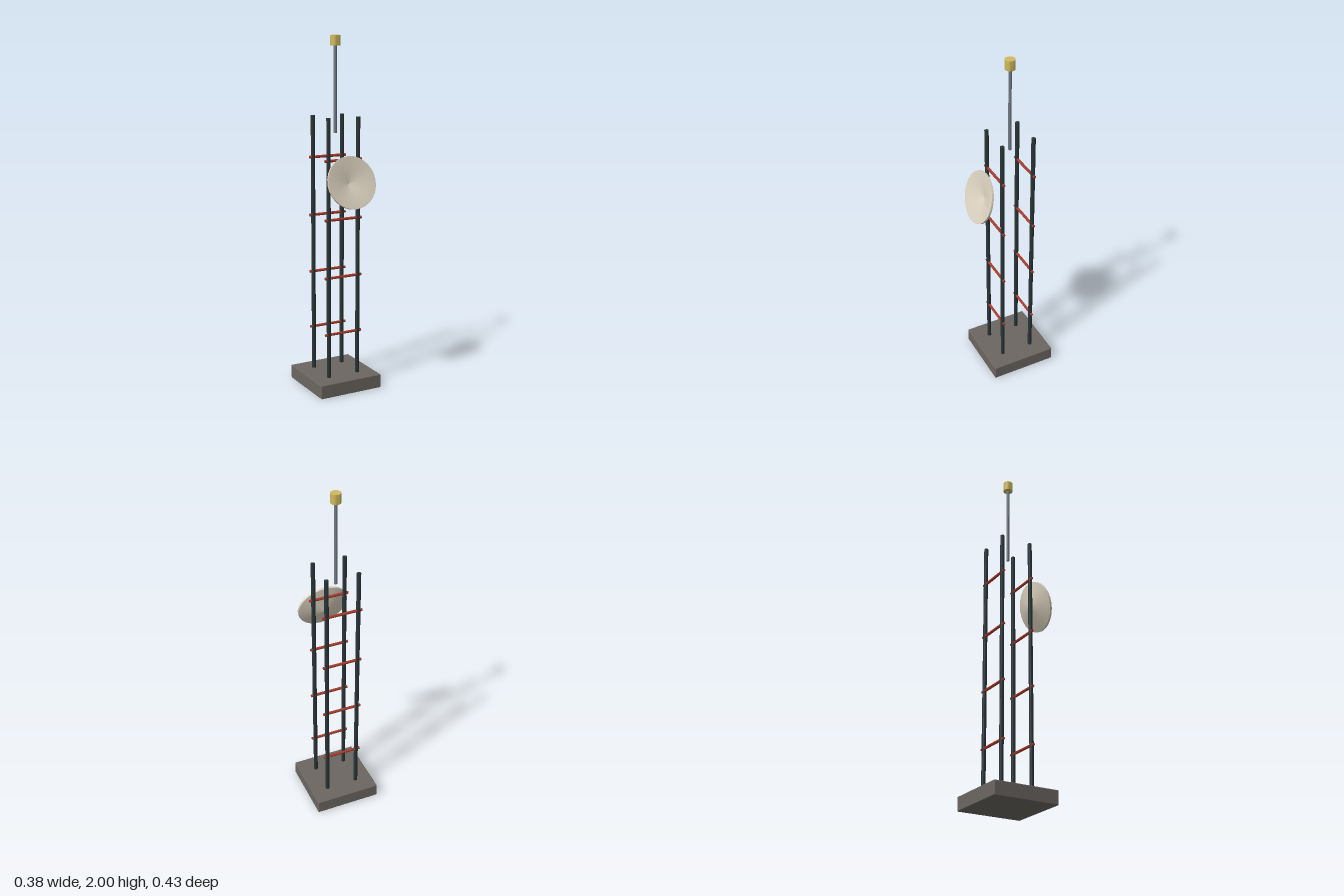
import * as THREE from 'three';
import { toCreasedNormals } from 'three/addons/utils/BufferGeometryUtils.js';
import { RoundedBoxGeometry } from 'three/addons/geometries/RoundedBoxGeometry.js';

const material = (name, color) => {
  const m = new THREE.MeshStandardMaterial({ color });
  m.name = name;
  return m;
};

export function createModel() {
  const model = new THREE.Group();
  model.name = 'antennaTower';

  const concrete = material('concreteGrey', 0x6b6661);
  const steel = material('darkSteel', 0x2a3538);
  const red = material('rungRed', 0xa63a2b);
  const grey = material('mastGrey', 0x747c84);
  const brass = material('beaconYellow', 0xd2ba5e);
  const cream = material('dishCream', 0xdbd1bf);

  const add = (name, geometry, mat, x, y, z) => {
    const mesh = new THREE.Mesh(geometry, mat);
    mesh.name = name;
    mesh.position.set(x, y, z);
    model.add(mesh);
    return mesh;
  };
  const rod = (radius, length, sides) =>
    toCreasedNormals(new THREE.CylinderGeometry(radius, radius, length, sides), 0.9);

  const midZ = -0.0225; // tower axis

  // Base slab with softened edges
  add('base', new RoundedBoxGeometry(0.385, 0.08, 0.385, 2, 0.005), concrete, 0, 0.04, midZ);

  // Two ladder frames, one in front of the other
  const legGeometry = rod(0.012, 1.485, 10);
  const rungGeometry = rod(0.008, 0.23, 8);
  for (const side of [1, -1]) {
    const z = midZ + side * 0.0925;
    for (const x of [-0.0925, 0.0925]) add('leg', legGeometry, steel, x, 0.8175, z);
    for (let i = 0; i < 4; i++) {
      add('rung', rungGeometry, red, 0, 0.333 + i * 0.331, z).rotation.z = Math.PI / 2;
    }
  }

  // Mast and beacon
  add('mast', rod(0.009, 0.49, 10), grey, 0, 1.71, midZ);
  add('beacon', rod(0.028, 0.056, 20), brass, 0, 1.972, midZ);

  // Shallow conical dish with a thin rim, tilted upward
  const profile = [
    [0, -0.055], [0.147, -0.012], [0.147, 0], [0.139, 0], [0, -0.041],
  ].map(([r, h]) => new THREE.Vector2(r, h));
  const dish = add('dish', toCreasedNormals(new THREE.LatheGeometry(profile, 28), 0.3),
    cream, 0, 1.215, 0.171);
  dish.rotation.x = 1.266;

  return model;
}
